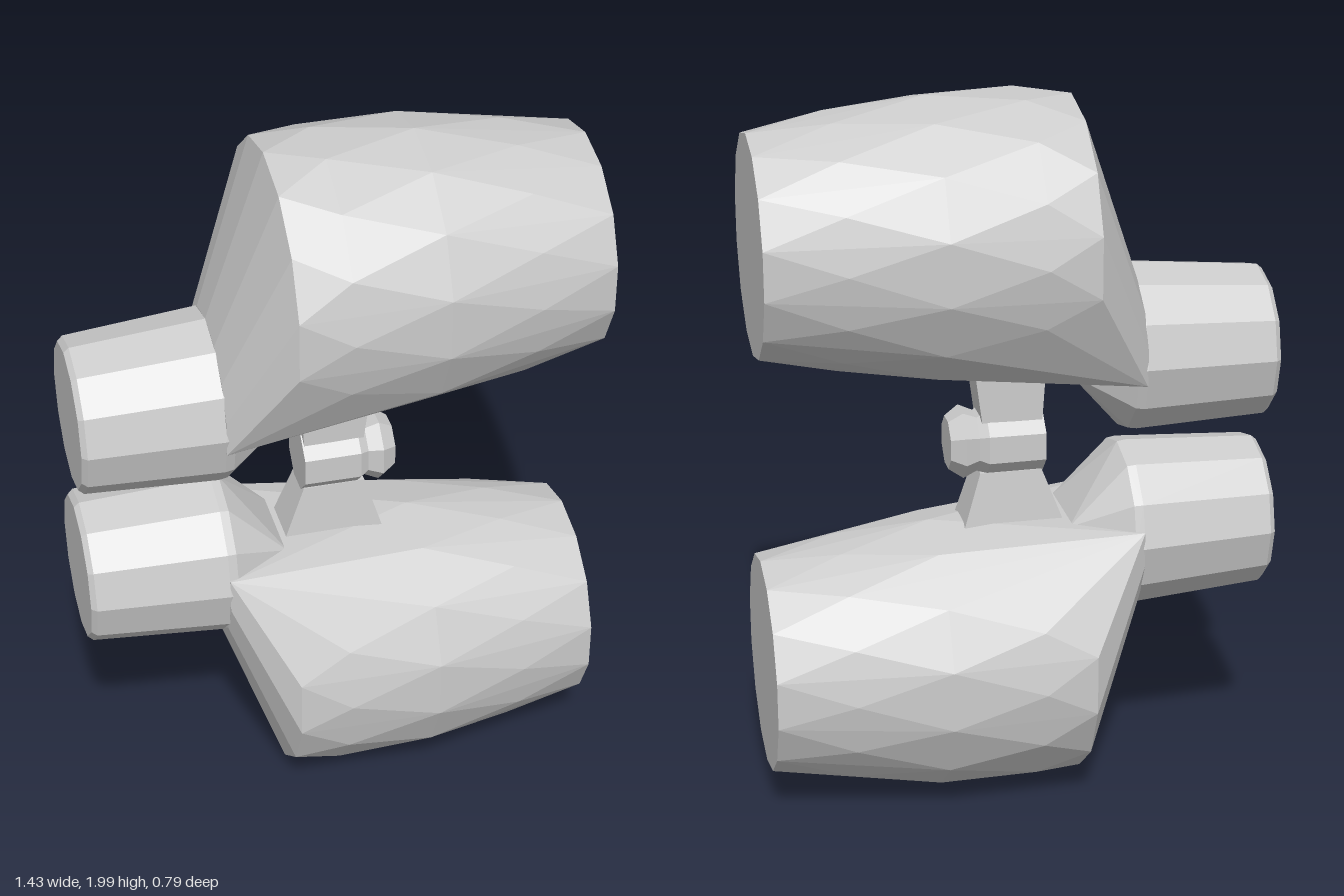
import * as THREE from 'three';
import { ConvexGeometry } from 'three/addons/geometries/ConvexGeometry.js';

const material = new THREE.MeshStandardMaterial({ color: 0xcccccc, flatShading: true });

// Points of a ring around the x axis, optionally cut flat at a lowest y
function ring(x, cy, r, sides, phase = 0, floor = -Infinity) {
  const pts = [];
  for (let i = 0; i < sides; i++) {
    const a = ((i + phase) / sides) * Math.PI * 2;
    pts.push(new THREE.Vector3(x, Math.max(floor, cy + r * Math.cos(a)), r * Math.sin(a)));
  }
  return pts;
}

// Faceted solid around a set of points
function hull(name, pts) {
  const mesh = new THREE.Mesh(new ConvexGeometry(pts), material);
  mesh.name = name;
  return mesh;
}

// Four corners of a horizontal rectangle
function rect(y, x0, x1, z) {
  return [[x0, z], [x1, z], [x1, -z], [x0, -z]].map(([x, d]) => new THREE.Vector3(x, y, d));
}

export function createModel() {
  const model = new THREE.Group();
  model.name = 'binoculars';
  const cut = 1.215; // flat inner side of each barrel

  // Two mirrored halves, one above the other
  for (const upper of [true, false]) {
    const place = (pts) => (upper ? pts : pts.map((p) => new THREE.Vector3(p.x, 2 - p.y, p.z)));
    const half = new THREE.Group();
    half.name = upper ? 'upperHalf' : 'lowerHalf';

    // Wide barrel with a sloping shoulder towards the eyepiece
    half.add(hull('barrel', place([
      ...ring(0.715, 1.61, 0.308, 14),
      ...ring(0.5, 1.61, 0.35, 14, 0.5),
      ...ring(0.24, 1.607, 0.39, 14, 0, cut),
      ...ring(-0.02, 1.607, 0.393, 14, 0.5, cut),
      ...ring(-0.165, 1.6, 0.383, 14, 0, cut),
      ...ring(-0.33, 1.262, 0.24, 14, 0, cut),
    ])));

    // Eyepiece, tapering away under the barrel
    half.add(hull('eyepiece', place([
      ...ring(-0.715, 1.255, 0.203, 12),
      ...ring(-0.7, 1.255, 0.216, 12),
      ...ring(-0.33, 1.262, 0.24, 12),
      ...ring(-0.305, 1.262, 0.236, 12),
      ...rect(1.225, -0.2, -0.14, 0.12),
    ])));
    model.add(half);
  }

  // Hinge posts between the barrels
  model.add(hull('upperHingePost', [...rect(1.23, -0.085, 0.115, 0.062), ...rect(1.08, -0.075, 0.095, 0.062)]));
  model.add(hull('lowerHingePost', [...rect(0.93, -0.075, 0.1, 0.055), ...rect(0.775, -0.135, 0.148, 0.072)]));

  // Hinge barrel with focus knob, turned around the x axis
  const profile = [[0, -0.08], [0.1, -0.08], [0.102, 0.08], [0.085, 0.105], [0.103, 0.145], [0.075, 0.185], [0, 0.185]];
  const hingeGeo = new THREE.LatheGeometry(profile.map(([r, x]) => new THREE.Vector2(r, x)), 8, Math.PI / 8);
  hingeGeo.rotateZ(-Math.PI / 2);
  const hinge = new THREE.Mesh(hingeGeo, material);
  hinge.name = 'hingeAndFocusKnob';
  hinge.position.y = 1.01;
  model.add(hinge);

  return model;
}
